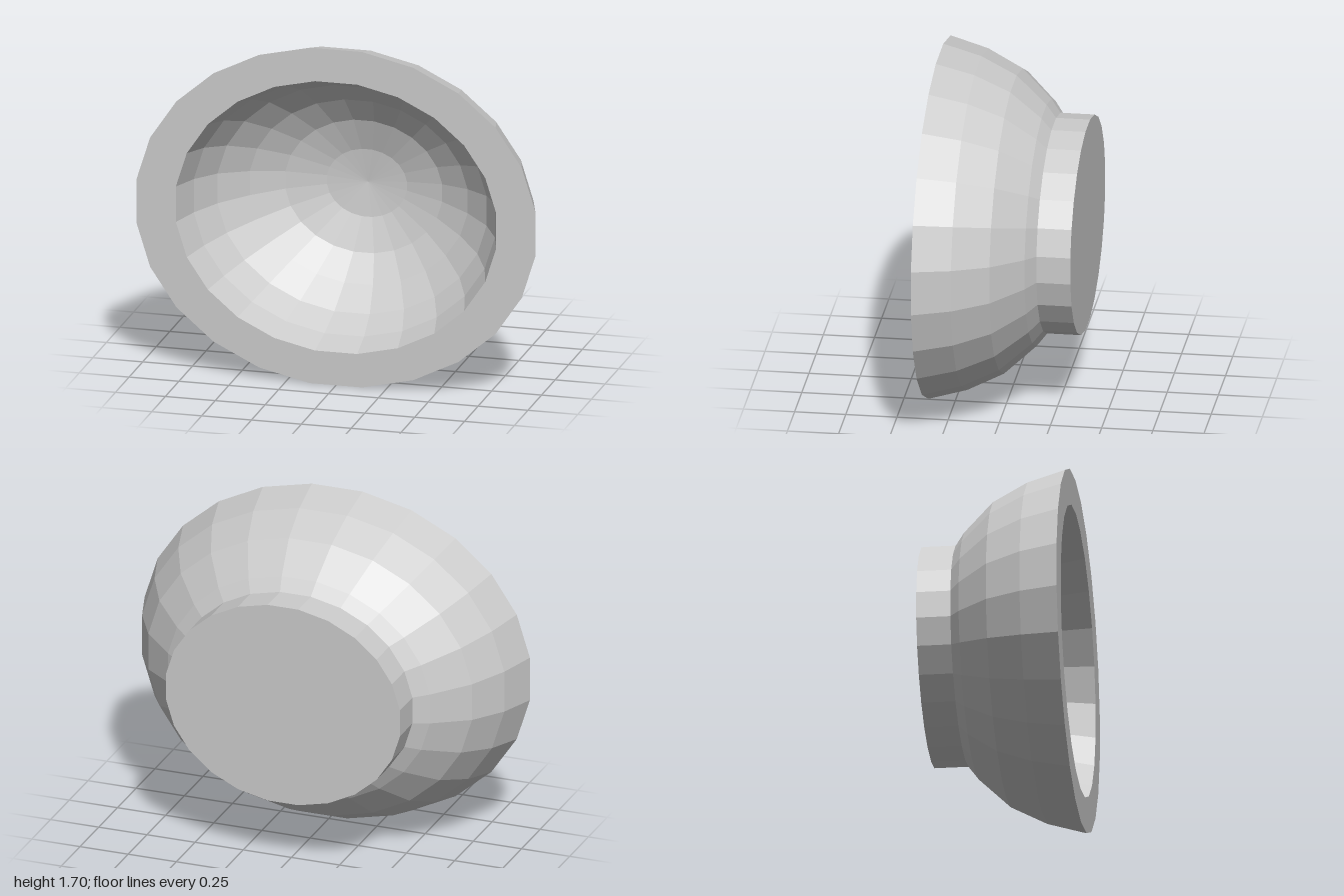
import * as THREE from 'three';

const SIDES = 24;
const RIM_Z = 0.362;
const BACK_Z = -0.362;
const HALF_HEIGHT = 0.852;
// Flat sides sit on the axes, so corners lie slightly outside the overall size
const CORNER = 1 / Math.cos(Math.PI / SIDES);

// Radius of each ring of the dome, rim to centre, spaced every 15 degrees
const RINGS = [1, 0.94, 0.84, 0.68, 0.49, 0.25, 0];

function domeProfile(radius, depth) {
  return RINGS.map((r, i) => [r * radius, RIM_Z - depth * Math.sin((i * Math.PI) / 12)]);
}

export function createModel() {
  const model = new THREE.Group();
  model.name = 'bowl';
  const material = new THREE.MeshStandardMaterial({ color: 0xcccccc, flatShading: true });

  // Turn a [radius, z] profile around the z axis, flattened to an oval
  function turned(name, profile) {
    const points = profile.map(([r, z]) => new THREE.Vector2(r * CORNER, z));
    const geometry = new THREE.LatheGeometry(points, SIDES, Math.PI / SIDES);
    geometry.rotateX(Math.PI / 2);
    geometry.scale(1, HALF_HEIGHT, 1);
    geometry.translate(0, HALF_HEIGHT, 0);
    const mesh = new THREE.Mesh(geometry, material);
    mesh.name = name;
    model.add(mesh);
  }

  // Outer wall stops where it meets the foot
  const outer = domeProfile(1, 0.722).slice(0, 4);
  turned('outerWall', [[0.607, -0.196], ...outer.reverse()]);

  // Flat rim and hollow inside
  turned('rim', [[1, RIM_Z], [0.803, RIM_Z]]);
  turned('innerWall', domeProfile(0.803, 0.59));

  // Straight foot with a closed back
  turned('foot', [[0.607, BACK_Z], [0.607, -0.196]]);
  turned('footBase', [[0, BACK_Z], [0.607, BACK_Z]]);

  return model;
}
